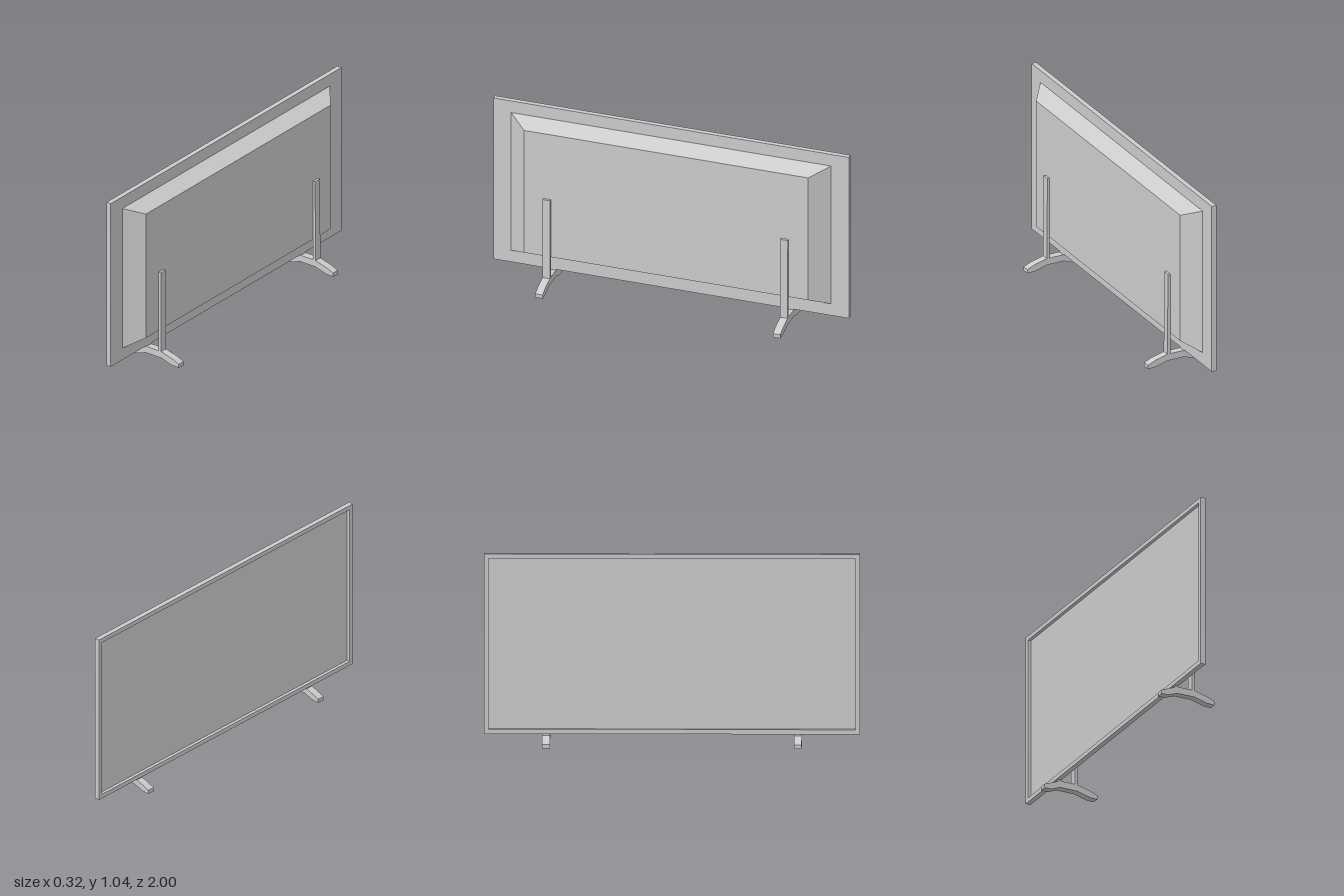
import * as THREE from 'three';

const material = new THREE.MeshStandardMaterial({ color: 0xcccccc, flatShading: true });

function addMesh(parent, name, geometry) {
  const mesh = new THREE.Mesh(geometry, material);
  mesh.name = name;
  parent.add(mesh);
  return mesh;
}

function box(x0, x1, y0, y1, z0, z1) {
  return new THREE.BoxGeometry(x1 - x0, y1 - y0, z1 - z0)
    .translate((x0 + x1) / 2, (y0 + y1) / 2, (z0 + z1) / 2);
}

function rectangle(path, x0, x1, y0, y1) {
  path.moveTo(x0, y0);
  path.lineTo(x1, y0);
  path.lineTo(x1, y1);
  path.lineTo(x0, y1);
  path.closePath();
  return path;
}

function extrudeProfile(points, depth) {
  const shape = new THREE.Shape(points.map(([x, y]) => new THREE.Vector2(x, y)));
  return new THREE.ExtrudeGeometry(shape, { depth, bevelEnabled: false })
    .translate(0, 0, -depth / 2);
}

export function createModel() {
  const television = new THREE.Group();
  television.name = 'television';

  const bottom = 0.065, top = 1.04, bezel = 0.025;
  const frontX = -0.088, plateX = -0.06, backX = 0.022;

  // Bezel frame around the screen, which faces -x
  const frame = rectangle(new THREE.Shape(), -1, 1, bottom, top);
  frame.holes.push(rectangle(new THREE.Path(), -1 + bezel, 1 - bezel, bottom + bezel, top - bezel));
  addMesh(television, 'bezel', new THREE.ExtrudeGeometry(frame, { depth: plateX - frontX, bevelEnabled: false })
    .rotateY(-Math.PI / 2).translate(plateX, 0, 0));

  // Recessed screen panel, closing the frame at the back
  addMesh(television, 'screen',
    box(-0.07, plateX, bottom + bezel, top - bezel, -1 + bezel, 1 - bezel));

  // Rear housing: a box whose outer face is drawn in on all four sides
  const housing = box(plateX, backX, 0.135, 0.97, -0.9, 0.9);
  const position = housing.attributes.position;
  for (let i = 0; i < position.count; i++) {
    if (position.getX(i) < 0) continue;
    position.setY(i, position.getY(i) > 0.5 ? 0.922 : 0.182);
    position.setZ(i, Math.sign(position.getZ(i)) * 0.8);
  }
  housing.computeVertexNormals();
  addMesh(television, 'rearHousing', housing);

  // Two stands, each with an arched foot, a support tab and a rear post
  const footProfile = [
    [-0.16, 0], [-0.115, 0.002], [-0.065, 0.022], [0.04, 0.022], [0.11, 0.002], [0.157, 0],
    [0.157, 0.022], [0.115, 0.04], [0.038, 0.06], [-0.065, 0.06], [-0.16, 0.022],
  ];
  const postProfile = [[backX, 0.055], [0.039, 0.055], [0.036, 0.53], [backX, 0.53]];
  const width = 0.042;
  for (const [side, z] of [['right', -0.669], ['left', 0.669]]) {
    const stand = new THREE.Group();
    stand.name = side + 'Stand';
    stand.position.z = z;
    addMesh(stand, 'foot', extrudeProfile(footProfile, width));
    addMesh(stand, 'post', extrudeProfile(postProfile, width));
    addMesh(stand, 'supportTab', box(-0.078, plateX, 0.05, bottom, -width / 2, width / 2));
    television.add(stand);
  }

  return television;
}
